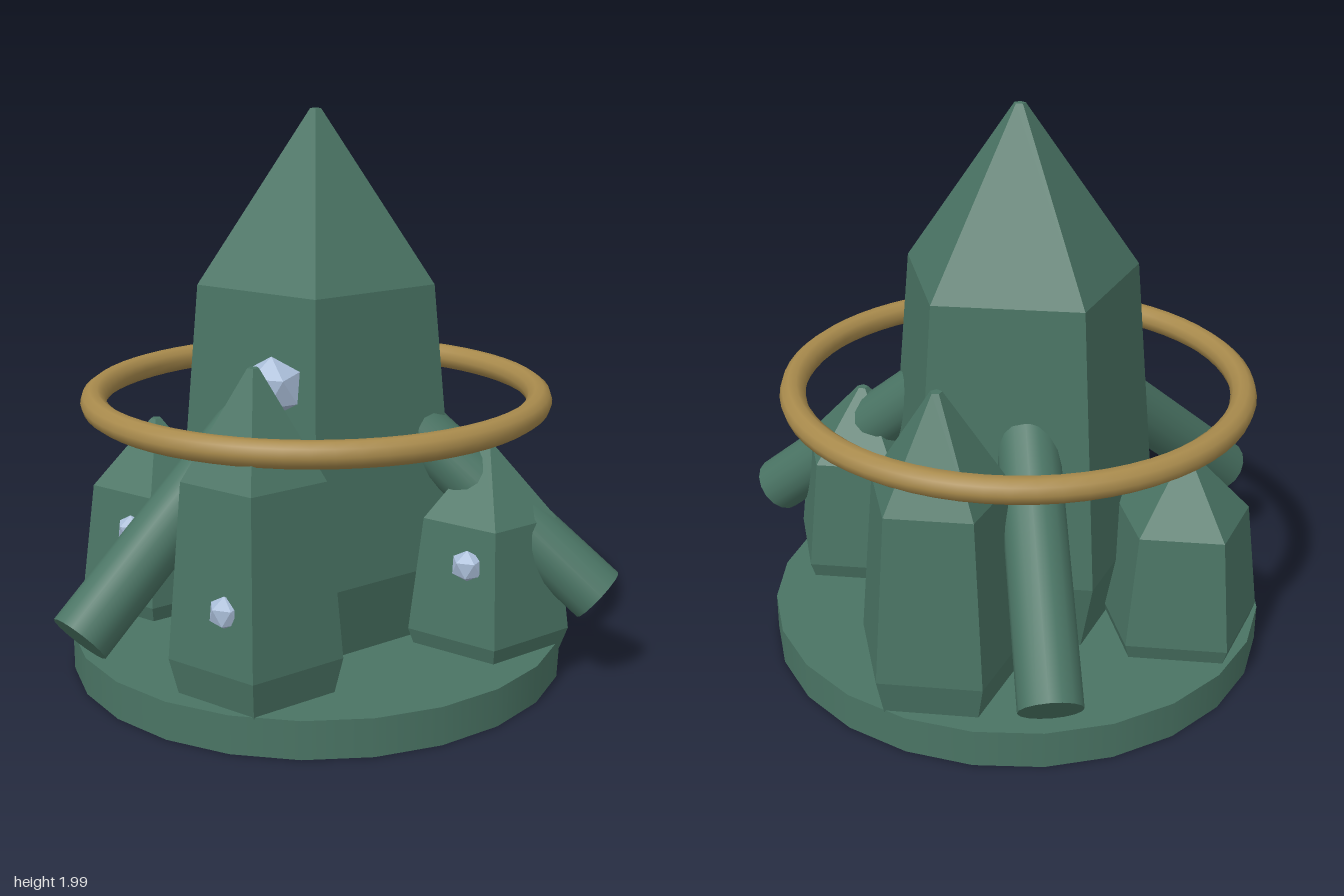
import * as THREE from 'three';

export function createModel() {
  const stone = new THREE.MeshStandardMaterial({ color: 0x4a7464 });
  stone.name = 'green stone';
  const brass = new THREE.MeshStandardMaterial({ color: 0xa88a4c });
  brass.name = 'brass';
  const ice = new THREE.MeshStandardMaterial({ color: 0xa9bdd8 });
  ice.name = 'pale blue gem';

  const model = new THREE.Group();
  model.name = 'crystalCluster';
  const axisX = -0.1;

  const add = (name, geometry, material, x = 0, y = 0, z = 0) => {
    const mesh = new THREE.Mesh(geometry, material);
    mesh.name = name;
    mesh.position.set(x, y, z);
    model.add(mesh);
    return mesh;
  };

  const faceted = (geometry) => {
    const flat = geometry.index ? geometry.toNonIndexed() : geometry;
    flat.computeVertexNormals();
    return flat;
  };

  // Round base
  add('base', new THREE.CylinderGeometry(0.9, 0.9, 0.135, 24), stone, axisX, 0.0675, 0);

  // Five-sided crystals, one corner towards +x
  const crystal = (name, radius, height, x, z) => {
    const profile = [[0, 0], [0.83, 0], [1, 0.18], [0.82, 0.695]]
      .map(([r, h]) => new THREE.Vector2(r * radius, h * height));
    profile.push(new THREE.Vector2(0.02, height), new THREE.Vector2(0, height));
    add(name, faceted(new THREE.LatheGeometry(profile, 5, Math.PI / 2)), stone, x, 0.05, z);
  };
  crystal('mainCrystal', 0.525, 1.94, axisX, 0);
  crystal('frontCrystal', 0.3, 1.162, axisX, 0.635);
  crystal('backCrystal', 0.3, 1.162, axisX, -0.635);
  crystal('leftCrystal', 0.298, 0.787, 0.537, 0);
  crystal('rightCrystal', 0.298, 0.787, -0.735, 0);

  // Three pipes sloping out of the main crystal
  const up = new THREE.Vector3(0, 1, 0);
  for (let i = 0; i < 3; i++) {
    const angle = (i * Math.PI * 2) / 3;
    const at = (r, y) => new THREE.Vector3(axisX + r * Math.cos(angle), y, r * Math.sin(angle));
    const inner = at(0.32, 0.925);
    const outer = at(1.035, 0.328);
    const run = inner.clone().sub(outer);
    const pipe = add('pipe' + (i + 1), new THREE.CylinderGeometry(0.106, 0.106, run.length(), 16), stone);
    pipe.position.copy(inner).add(outer).multiplyScalar(0.5);
    pipe.quaternion.setFromUnitVectors(up, run.normalize());
  }

  // Floating ring
  const ring = new THREE.TorusGeometry(0.795, 0.046, 10, 64).rotateX(Math.PI / 2);
  add('ring', ring, brass, axisX, 0.98, 0);

  // Gems, each with a flat triangle facing forward and pointing down
  const gem = (name, size, depth, x, y, z) => {
    const geometry = new THREE.IcosahedronGeometry(1, 0)
      .rotateY(-0.365).rotateZ(-Math.PI / 2).scale(size, size, depth);
    add(name, faceted(geometry), ice, x, y, z);
  };
  gem('mainGem', 0.105, 0.07, axisX, 1.11, 0.455);
  gem('frontGem', 0.06, 0.04, -0.12, 0.465, 0.86);
  gem('leftGem', 0.06, 0.04, 0.515, 0.465, 0.22);
  gem('rightGem', 0.06, 0.04, -0.745, 0.465, 0.22);

  return model;
}
